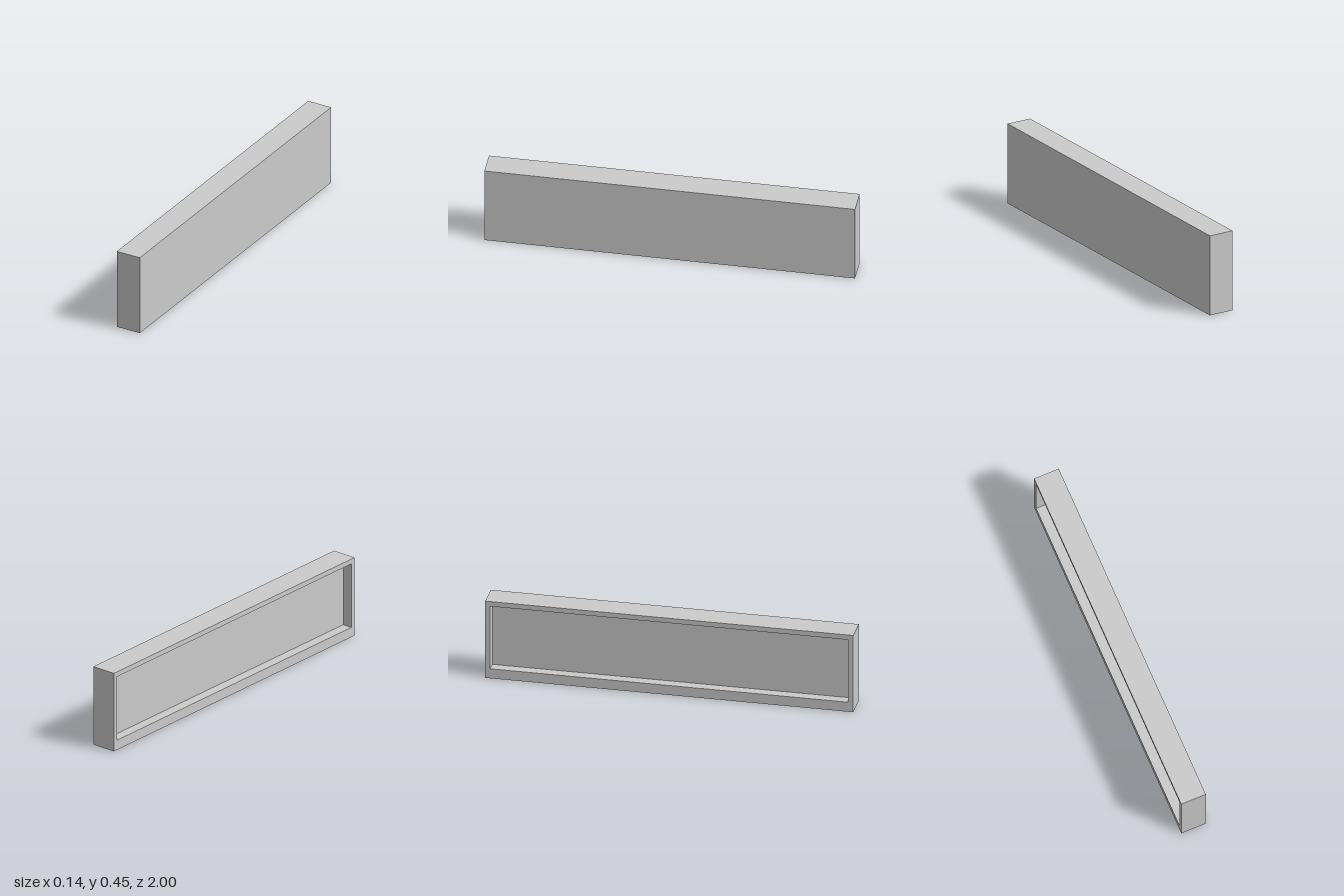
import * as THREE from 'three';

const WIDTH = 0.142, HEIGHT = 0.452, LENGTH = 2;
const RECESS = 0.056;                                  // depth of the open tray
const SIDE = 0.027, TOP = 0.028, BOTTOM = 0.056;       // rim thicknesses

// Adds a rectangle to a shape or hole path
function rectangle(path, x0, y0, x1, y1) {
  path.moveTo(x0, y0);
  path.lineTo(x1, y0);
  path.lineTo(x1, y1);
  path.lineTo(x0, y1);
  path.closePath();
  return path;
}

export function createModel() {
  const group = new THREE.Group();
  const material = new THREE.MeshStandardMaterial({ color: 0xcccccc });
  const half = LENGTH / 2;

  // Solid panel on the +x side
  const panelDepth = WIDTH - RECESS;
  const panel = new THREE.Mesh(new THREE.BoxGeometry(panelDepth, HEIGHT, LENGTH), material);
  panel.name = 'panel';
  panel.position.set(WIDTH / 2 - panelDepth / 2, HEIGHT / 2, 0);

  // Raised rim around the recess on the -x side, thicker along the bottom
  const outline = rectangle(new THREE.Shape(), -half, 0, half, HEIGHT);
  outline.holes.push(rectangle(new THREE.Path(), SIDE - half, BOTTOM, half - SIDE, HEIGHT - TOP));
  const rimGeometry = new THREE.ExtrudeGeometry(outline, { depth: RECESS, bevelEnabled: false });
  rimGeometry.rotateY(-Math.PI / 2);
  const rim = new THREE.Mesh(rimGeometry, material);
  rim.name = 'rim';
  rim.position.x = RECESS - WIDTH / 2;

  group.add(panel, rim);
  return group;
}
